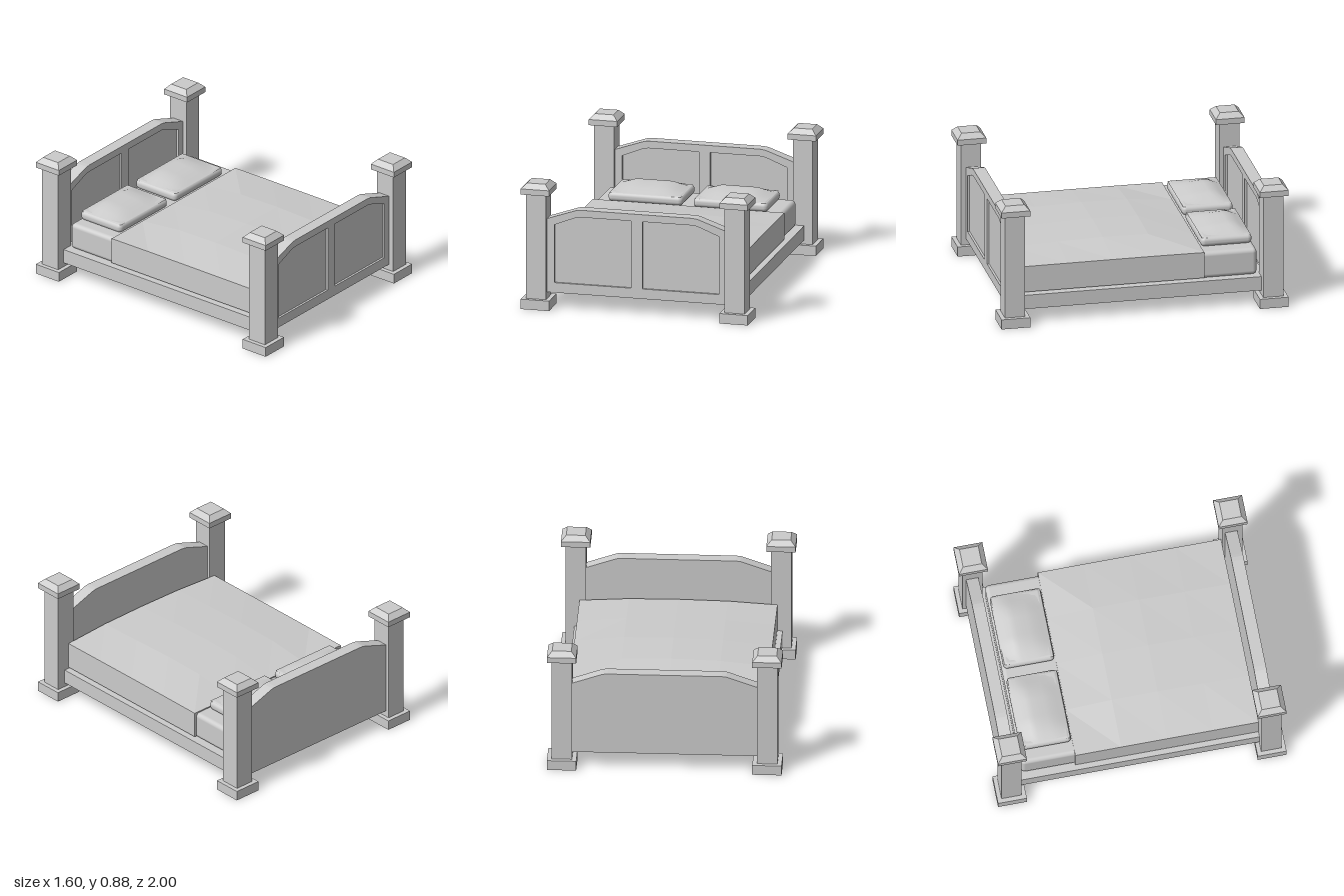
import * as THREE from 'three';
import { RoundedBoxGeometry } from 'three/addons/geometries/RoundedBoxGeometry.js';

const grey = new THREE.MeshStandardMaterial({ color: 0xcccccc });
const flatGrey = new THREE.MeshStandardMaterial({ color: 0xcccccc, flatShading: true });

function add(parent, name, geometry, x = 0, y = 0, z = 0, material = flatGrey) {
  const mesh = new THREE.Mesh(geometry, material);
  mesh.name = name;
  mesh.position.set(x, y, z);
  parent.add(mesh);
  return mesh;
}

// Box given by its lower and upper heights
function block(parent, name, w, y0, y1, d, z = 0) {
  return add(parent, name, new THREE.BoxGeometry(w, y1 - y0, d), 0, (y0 + y1) / 2, z);
}

// Square post with plinth and bevelled cap
function createPost(name) {
  const post = new THREE.Group();
  post.name = name;
  block(post, 'plinth', 0.2, 0, 0.07, 0.2);
  block(post, 'shaft', 0.14, 0.07, 0.81, 0.14);
  block(post, 'capSlab', 0.2, 0.81, 0.85, 0.2);
  const bevel = new THREE.CylinderGeometry(0.13 * Math.SQRT1_2, 0.2 * Math.SQRT1_2, 0.035, 4);
  bevel.rotateY(Math.PI / 4);
  add(post, 'capBevel', bevel, 0, 0.8675, 0);
  return post;
}

const polygon = (points) => points.map(([x, y]) => new THREE.Vector2(x, y));
const mirrored = (points) => points.map(([x, y]) => [-x, y]).reverse();

// Arched board: solid back layer, front frame with two panel openings
function createBoard(name) {
  const board = new THREE.Group();
  board.name = name;
  const rightHalf = [[0.635, 0.115], [0.635, 0.633], [0.44, 0.701], [0.42, 0.707], [0.39, 0.71]];
  const outline = polygon([...rightHalf, ...mirrored(rightHalf)]);
  const panel = [[0.04, 0.185], [0.58, 0.185], [0.58, 0.594], [0.44, 0.65], [0.42, 0.656], [0.395, 0.66], [0.04, 0.66]];
  const frame = new THREE.Shape(outline);
  frame.holes.push(new THREE.Path(polygon(panel)), new THREE.Path(polygon(mirrored(panel))));
  const extrude = (shape, depth) => new THREE.ExtrudeGeometry(shape, { depth, bevelEnabled: false });
  add(board, 'backing', extrude(new THREE.Shape(outline), 0.07), 0, 0, -0.0425);
  add(board, 'panelFrame', extrude(frame, 0.015), 0, 0, 0.0275);
  return board;
}

// Blanket: coarse box whose top is gently lifted
function createBlanketGeometry() {
  const w = 1.35, d = 1.27, h = 0.185;
  const g = new THREE.BoxGeometry(w, h, d, 4, 1, 4);
  const p = g.attributes.position;
  const rowLift = [0, 0.04, 0.046, 0.036, 0.026];
  for (let i = 0; i < p.count; i++) {
    if (p.getY(i) < 0) continue;
    const col = Math.round((p.getX(i) / w + 0.5) * 4);
    const row = Math.round((p.getZ(i) / d + 0.5) * 4);
    const inner = [0.05, 0.8, 1, 0.85, 0.05][col];
    p.setY(i, h / 2 + rowLift[row] * inner);
  }
  g.computeVertexNormals();
  return g;
}

// Pillow crown: thin sheet lifted towards a ridge near the head end
function createCrownGeometry() {
  const w = 0.5, d = 0.34;
  const g = new THREE.PlaneGeometry(w, d, 8, 8).rotateX(-Math.PI / 2);
  const p = g.attributes.position;
  for (let i = 0; i < p.count; i++) {
    const u = Math.abs(p.getX(i)) / (w / 2);
    const v = p.getZ(i) / d + 0.5;
    const along = v < 0.28 ? v / 0.28 : v < 0.7 ? 1 - 0.3 * (v - 0.28) / 0.42 : 0.7 * (1 - v) / 0.3;
    p.setY(i, 0.043 * along * Math.min(1, (1 - u) / 0.5));
  }
  g.computeVertexNormals();
  return g;
}

export function createModel() {
  const bed = new THREE.Group();
  bed.name = 'bed';

  // Four corner posts
  for (const [x, side] of [[0.7, 'Left'], [-0.7, 'Right']]) {
    for (const [z, end] of [[0.9, 'front'], [-0.9, 'back']]) {
      const post = createPost(`${end}${side}Post`);
      post.position.set(x, 0, z);
      bed.add(post);
    }
  }

  // Headboard and footboard
  for (const [name, z] of [['headboard', -0.9025], ['footboard', 0.8925]]) {
    const board = createBoard(name);
    board.position.z = z;
    bed.add(board);
  }

  // Platform, mattress and blanket
  block(bed, 'platform', 1.42, 0.1, 0.2, 1.69, -0.015);
  add(bed, 'mattress', new RoundedBoxGeometry(1.32, 0.19, 1.63, 3, 0.03), 0, 0.292, 0.003, grey);
  add(bed, 'blanket', createBlanketGeometry(), 0, 0.3025, 0.195);

  // Two pillows
  for (const [x, side] of [[0.29, 'left'], [-0.31, 'right']]) {
    const pillow = new THREE.Group();
    pillow.name = `${side}Pillow`;
    pillow.position.set(x, 0.417, -0.623);
    add(pillow, 'cushion', new RoundedBoxGeometry(0.525, 0.068, 0.355, 4, 0.03), 0, 0, 0, grey);
    add(pillow, 'crown', createCrownGeometry(), 0, 0.03, 0, grey);
    bed.add(pillow);
  }
  return bed;
}
